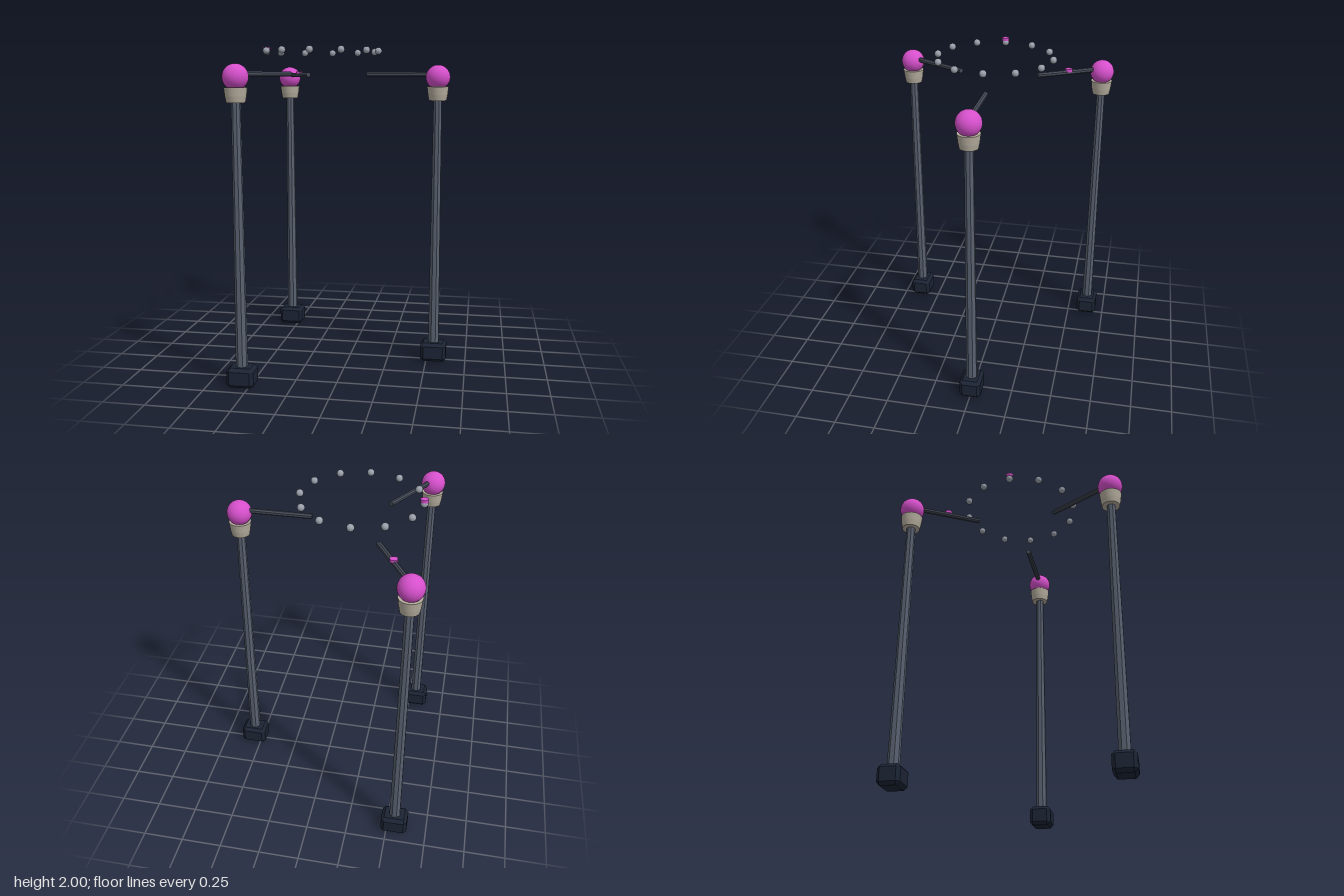
import * as THREE from 'three';
import { ConvexGeometry } from 'three/addons/geometries/ConvexGeometry.js';

const CENTRE_X = -0.183;   // centre of the circle of pylons
const PYLON_R = 0.728;     // pylons stand on this circle
const BEAD_R = 0.357;      // beads float on this circle
const BEAD_Y = 1.97;

const mat = (color, flatShading = false) => new THREE.MeshStandardMaterial({ color, flatShading });
const magenta = mat(0xd650cc);
const poleGrey = mat(0x596170, true);
const armGrey = mat(0x464c59, true);
const navy = mat(0x1c2434, true);
const stone = mat(0xb5ad9e);
const beadGrey = mat(0x9ba1ac);

function add(parent, name, geometry, material, x = 0, y = 0, z = 0) {
  const mesh = new THREE.Mesh(geometry, material);
  mesh.name = name;
  mesh.position.set(x, y, z);
  parent.add(mesh);
  return mesh;
}

// Box with every edge chamfered by c
function chamferedBox(w, h, d, c) {
  const points = [];
  for (const sx of [-1, 1]) for (const sy of [-1, 1]) for (const sz of [-1, 1]) {
    const x = w / 2, y = h / 2, z = d / 2;
    points.push(
      new THREE.Vector3(sx * x, sy * (y - c), sz * (z - c)),
      new THREE.Vector3(sx * (x - c), sy * y, sz * (z - c)),
      new THREE.Vector3(sx * (x - c), sy * (y - c), sz * z));
  }
  return new ConvexGeometry(points);
}

export function createModel() {
  const model = new THREE.Group();
  model.name = 'pylonRing';

  const baseGeo = chamferedBox(0.164, 0.12, 0.134, 0.02);
  const poleGeo = new THREE.CylinderGeometry(0.027, 0.036, 1.6, 8).rotateY(Math.PI / 8);
  const collarGeo = new THREE.CylinderGeometry(0.067, 0.061, 0.05, 24);
  const collarFootGeo = new THREE.CylinderGeometry(0.061, 0.054, 0.035, 24);
  const ballGeo = new THREE.SphereGeometry(0.075, 32, 20);
  const armGeo = new THREE.CylinderGeometry(0.016, 0.016, 0.42, 8)
    .rotateY(Math.PI / 8).rotateZ(Math.PI / 2);
  const beadGeo = new THREE.SphereGeometry(0.022, 20, 14);
  const markerGeo = new THREE.CylinderGeometry(0.023, 0.023, 0.018, 20);

  // Three pylons, each with an arm reaching towards the centre
  for (let i = 0; i < 3; i++) {
    const a = (i * 2 * Math.PI) / 3;
    const pylon = new THREE.Group();
    pylon.name = 'pylon';
    pylon.position.set(CENTRE_X + PYLON_R * Math.cos(a), 0, PYLON_R * Math.sin(a));
    add(pylon, 'base', baseGeo, navy, 0, 0.06);
    add(pylon, 'pole', poleGeo, poleGrey, 0, 0.89);
    add(pylon, 'collarFoot', collarFootGeo, stone, 0, 1.685);
    add(pylon, 'collar', collarGeo, stone, 0, 1.7275);
    add(pylon, 'ball', ballGeo, magenta, 0, 1.81);

    const armPivot = new THREE.Group();
    armPivot.name = 'armPivot';
    armPivot.rotation.y = -a;
    add(armPivot, 'arm', armGeo, armGrey, -0.233, 1.828);
    // The back arm carries a marker disc
    if (i === 2) add(armPivot, 'armMarker', markerGeo, magenta, -0.235, 1.842);
    pylon.add(armPivot);
    model.add(pylon);
  }

  // Ring of floating beads
  const ring = new THREE.Group();
  ring.name = 'beadRing';
  ring.position.set(CENTRE_X, 0, 0);
  for (let i = 0; i < 12; i++) {
    const a = (i * Math.PI) / 6;
    add(ring, 'bead', beadGeo, beadGrey, BEAD_R * Math.cos(a), BEAD_Y, BEAD_R * Math.sin(a));
  }
  add(ring, 'beadMarker', markerGeo, magenta, -BEAD_R, 1.991, 0);
  model.add(ring);

  return model;
}
